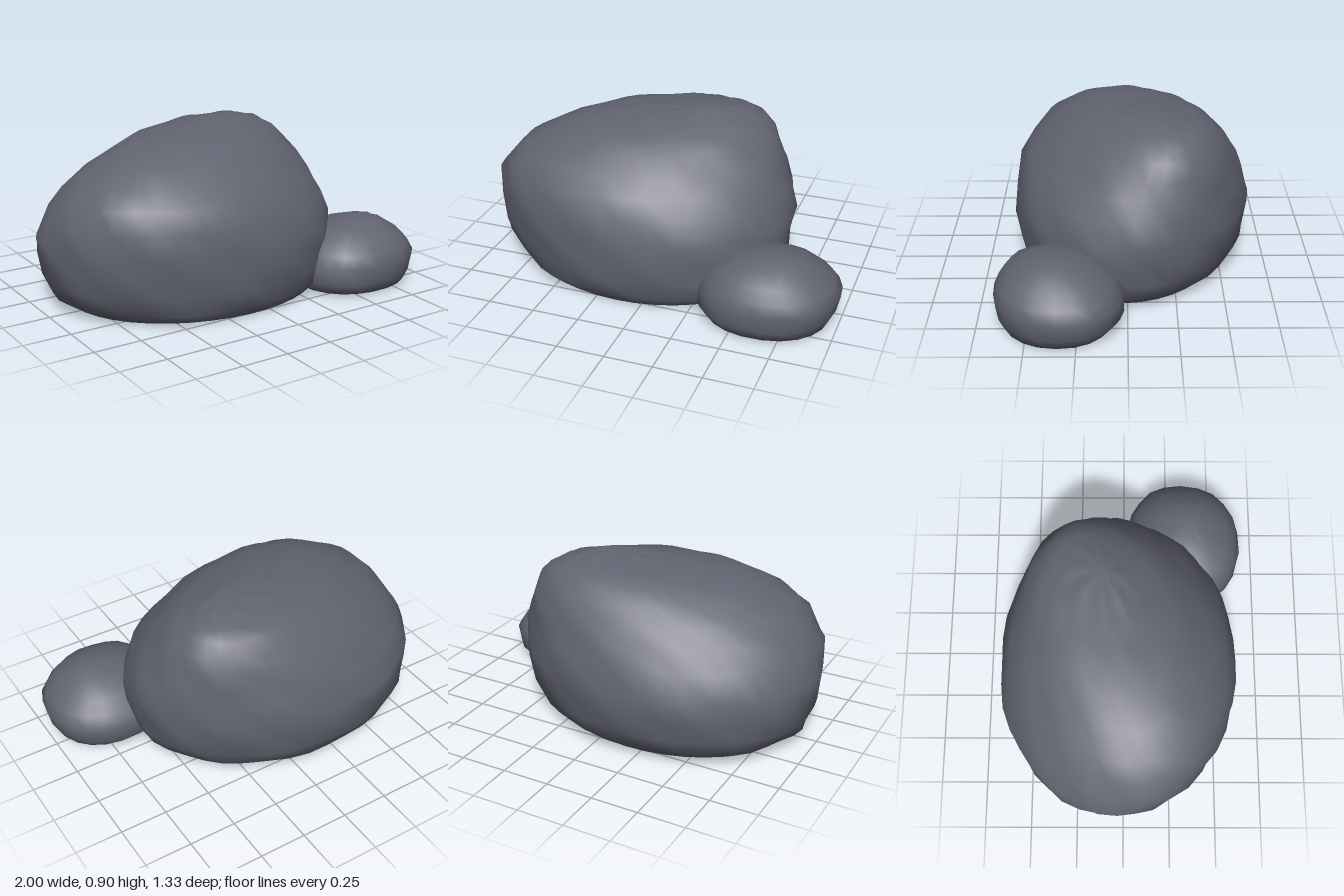
import * as THREE from 'three';

// Stacks oval rings [y, xMin, xMax, zMin, zMax, slant] into a closed stone.
// The slant draws an oval out along the diagonal from back left to front right;
// a roundness below 1 makes the oval fuller at its corners.
function stoneGeometry({ rings, peak, segments, bump, roundness }) {
  const pos = [], index = [];
  const full = (v) => Math.sign(v) * Math.abs(v) ** roundness;
  rings.forEach(([y, x0, x1, z0, z1, slant], j) => {
    const cx = (x0 + x1) / 2, cz = (z0 + z1) / 2;
    const phase = Math.asin(slant) / 2;
    for (let i = 0; i < segments; i++) {
      const a = (i / segments) * Math.PI * 2;
      // weathered lumps, none on the base ring
      const lump = j === 0 ? 0 : bump * (Math.sin(6 * a + j * 1.9) + 0.8 * Math.sin(11 * a - j * 2.3));
      const dx = full(Math.cos(a + phase)) * ((x1 - x0) / 2) * (1 + lump);
      const dz = full(Math.sin(a - phase)) * ((z1 - z0) / 2) * (1 + lump);
      const lift = j === 0 ? 0 : bump * 0.6 * Math.sin(7 * a + j * 2.7);
      pos.push(cx + dx, y + lift, cz + dz);
    }
  });
  const n = segments, last = (rings.length - 1) * n;
  for (let j = 0; j < rings.length - 1; j++) {
    for (let i = 0; i < n; i++) {
      const k = (i + 1) % n;
      const a = j * n + i, b = j * n + k, c = b + n, d = a + n;
      index.push(a, d, c, a, c, b);
    }
  }
  // crown and underside
  const top = pos.length / 3, bottom = top + 1;
  const [, x0, x1, z0, z1] = rings[0];
  pos.push(...peak, (x0 + x1) / 2, 0, (z0 + z1) / 2);
  for (let i = 0; i < n; i++) {
    const k = (i + 1) % n;
    index.push(last + i, top, last + k, bottom, i, k);
  }

  const geometry = new THREE.BufferGeometry();
  geometry.setAttribute('position', new THREE.Float32BufferAttribute(pos, 3));
  geometry.setIndex(index);
  geometry.computeVertexNormals();
  return geometry;
}

export function createModel() {
  const group = new THREE.Group();
  group.name = 'boulders';
  const stone = new THREE.MeshStandardMaterial({ color: 0x626471 });
  stone.name = 'slate grey stone';

  const stones = {
    largeBoulder: {
      segments: 40,
      bump: 0.01,
      roundness: 1,
      peak: [0.15, 0.905, -0.11],
      rings: [
        [0.012, -0.84, 0.53, -0.53, 0.53, -0.05],
        [0.07, -0.92, 0.59, -0.6, 0.57, -0.05],
        [0.16, -0.965, 0.63, -0.64, 0.595, -0.04],
        [0.27, -0.985, 0.645, -0.655, 0.605, -0.02],
        [0.38, -0.995, 0.65, -0.665, 0.605, 0],
        [0.5, -0.96, 0.62, -0.62, 0.585, 0.07],
        [0.6, -0.89, 0.57, -0.585, 0.535, 0.15],
        [0.68, -0.81, 0.54, -0.54, 0.46, 0.22],
        [0.76, -0.66, 0.49, -0.49, 0.36, 0.28],
        [0.82, -0.5, 0.43, -0.43, 0.25, 0.32],
        [0.853, -0.3, 0.36, -0.36, 0.1, 0.35],
        [0.872, -0.04, 0.27, -0.25, 0.0, 0.3],
      ],
    },
    smallBoulder: {
      segments: 22,
      bump: 0.005,
      roundness: 0.92,
      peak: [0.69, 0.36, 0.38],
      rings: [
        [0.012, 0.32, 0.95, 0.07, 0.63, 0.04],
        [0.07, 0.27, 0.98, 0.015, 0.66, 0.04],
        [0.16, 0.28, 1.0, 0.02, 0.668, 0.04],
        [0.22, 0.32, 0.965, 0.06, 0.645, 0.04],
        [0.28, 0.38, 0.9, 0.12, 0.6, 0.04],
        [0.325, 0.47, 0.83, 0.2, 0.52, 0.04],
        [0.35, 0.57, 0.77, 0.29, 0.45, 0.04],
      ],
    },
  };
  for (const [name, spec] of Object.entries(stones)) {
    const mesh = new THREE.Mesh(stoneGeometry(spec), stone);
    mesh.name = name;
    group.add(mesh);
  }
  return group;
}
